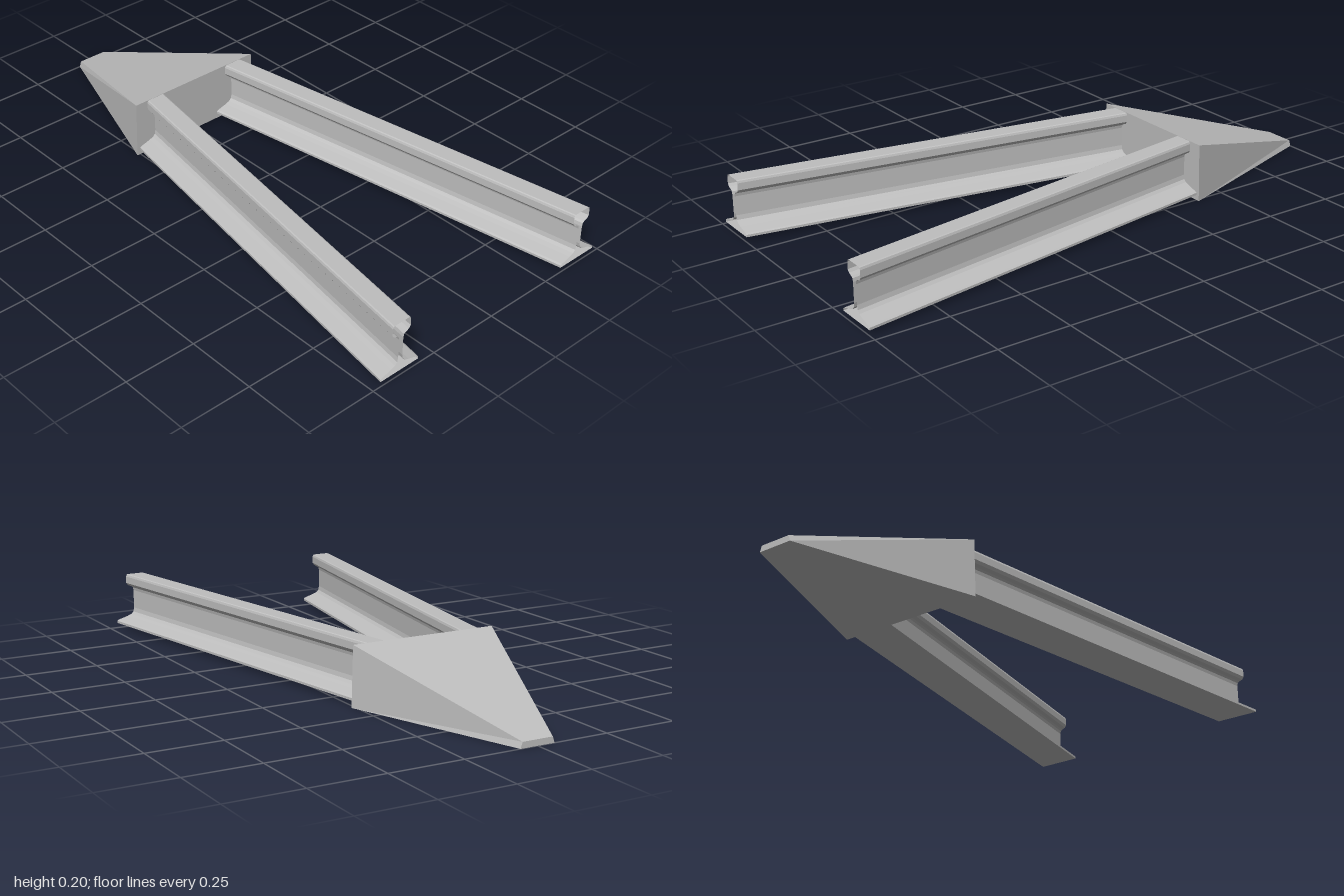
import * as THREE from 'three';

// Skin a list of closed rings (arrays of Vector3, same length), optionally capping both ends
function loft(rings, capped) {
  const pos = [];
  const tri = (a, b, c) => pos.push(...a.toArray(), ...b.toArray(), ...c.toArray());
  const n = rings[0].length;
  for (let r = 0; r < rings.length - 1; r++) {
    const front = rings[r], back = rings[r + 1];
    for (let i = 0; i < n; i++) {
      const j = (i + 1) % n;
      tri(front[i], back[i], back[j]);
      tri(front[i], back[j], front[j]);
    }
  }
  if (capped) {
    const f = rings[0], b = rings[rings.length - 1];
    for (let i = 1; i < n - 1; i++) {
      tri(f[0], f[i], f[i + 1]);
      tri(b[0], b[i + 1], b[i]);
    }
  }
  const g = new THREE.BufferGeometry();
  g.setAttribute('position', new THREE.Float32BufferAttribute(pos, 3));
  g.computeVertexNormals();
  return g;
}

export function createModel() {
  const model = new THREE.Group();
  const steel = new THREE.MeshStandardMaterial({
    color: 0xbebebe, flatShading: true, side: THREE.DoubleSide,
  });
  steel.name = 'steel grey';

  // Right half of the rail section, from foot to head
  const half = [
    [0.077, 0.018], [0.077, 0.026], [0.071, 0.03], [0.036, 0.04], [0.02, 0.046],
    [0.0115, 0.055], [0.0085, 0.07], [0.0085, 0.136], [0.011, 0.147], [0.017, 0.152],
    [0.03, 0.157], [0.0365, 0.166], [0.0365, 0.19], [0.034, 0.197], [0.03, 0.199],
  ];
  const section = [...half, ...half.map(([x, y]) => [-x, y]).reverse()];

  // Two open-ended rails that converge towards the back, ends cut square to z
  const ring = (cx, z) => section.map(([x, y]) => new THREE.Vector3(cx + x, y, z));
  for (const [name, side] of [['leftRail', 1], ['rightRail', -1]]) {
    const rail = new THREE.Mesh(loft([ring(0.395 * side, 1), ring(0.173 * side, -0.39)], false), steel);
    rail.name = name;
    model.add(rail);
  }

  // Solid wedge nose joining the rails
  const frame = (bottom, top, height, z) => [
    [bottom, 0], [top, height], [-top, height], [-bottom, 0],
  ].map(([x, y]) => new THREE.Vector3(x, y, z));
  const nose = new THREE.Mesh(
    loft([frame(0.263, 0.257, 0.2, -0.39), frame(0.06, 0.053, 0.02, -1)], true), steel);
  nose.name = 'wedgeNose';
  model.add(nose);

  return model;
}
